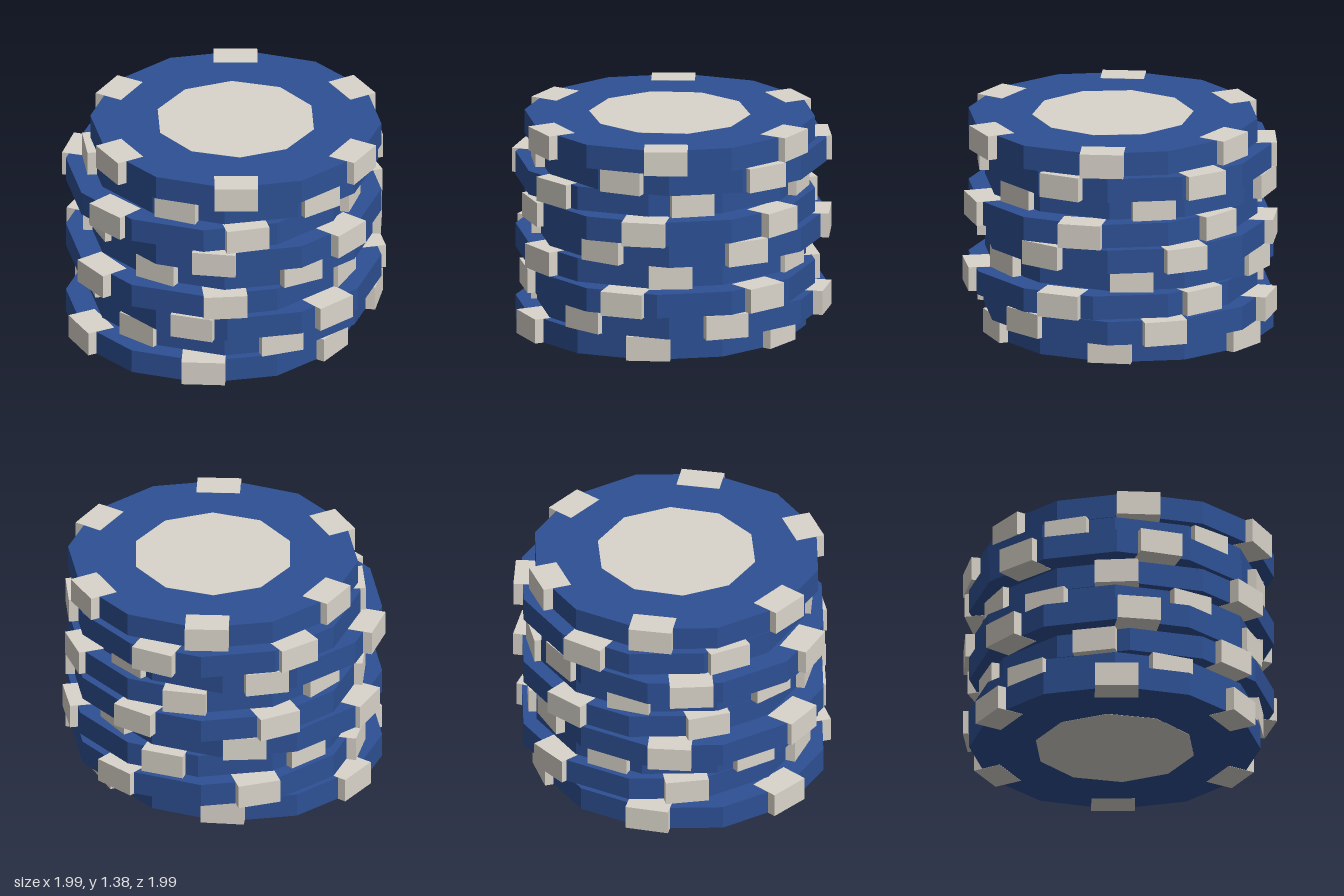
import * as THREE from 'three';

const CHIPS = 9, STEP = 0.1532, DISC_H = 0.1505, TWIST = 0.4;
// Repeating sideways shift of the chips, as x and z
const SHIFTS = [[-0.068, 0.067], [0, -0.067], [0.068, 0]];

export function createModel() {
  const blue = new THREE.MeshStandardMaterial({ color: 0x2d5094, flatShading: true });
  blue.name = 'blue clay';
  const cream = new THREE.MeshStandardMaterial({ color: 0xdad5cb, flatShading: true });
  cream.name = 'cream inlay';

  const discGeo = new THREE.CylinderGeometry(0.9, 0.9, DISC_H, 12);
  const inlayGeo = new THREE.CylinderGeometry(0.5, 0.5, STEP, 10);
  const blockGeo = new THREE.BoxGeometry(0.18, STEP, 0.27);

  const add = (parent, name, geometry, material) => {
    const mesh = new THREE.Mesh(geometry, material);
    mesh.name = name;
    parent.add(mesh);
    return mesh;
  };

  const stack = new THREE.Group();
  stack.name = 'chipStack';
  for (let i = 0; i < CHIPS; i++) {
    const chip = new THREE.Group();
    chip.name = `chip${i + 1}`;
    const [x, z] = SHIFTS[i % 3];
    chip.position.set(x, (i + 0.5) * STEP, z);

    // Body and the centre inlay showing on both faces
    add(chip, 'disc', discGeo, blue);
    add(chip, 'centreInlay', inlayGeo, cream);

    // Six edge blocks, turned a little further on each chip
    for (let k = 0; k < 6; k++) {
      const a = i * TWIST + k * Math.PI / 3;
      const block = add(chip, 'edgeBlock', blockGeo, cream);
      block.position.set(Math.cos(a) * 0.83, 0, -Math.sin(a) * 0.83);
      block.rotation.y = a;
    }
    stack.add(chip);
  }
  return stack;
}
